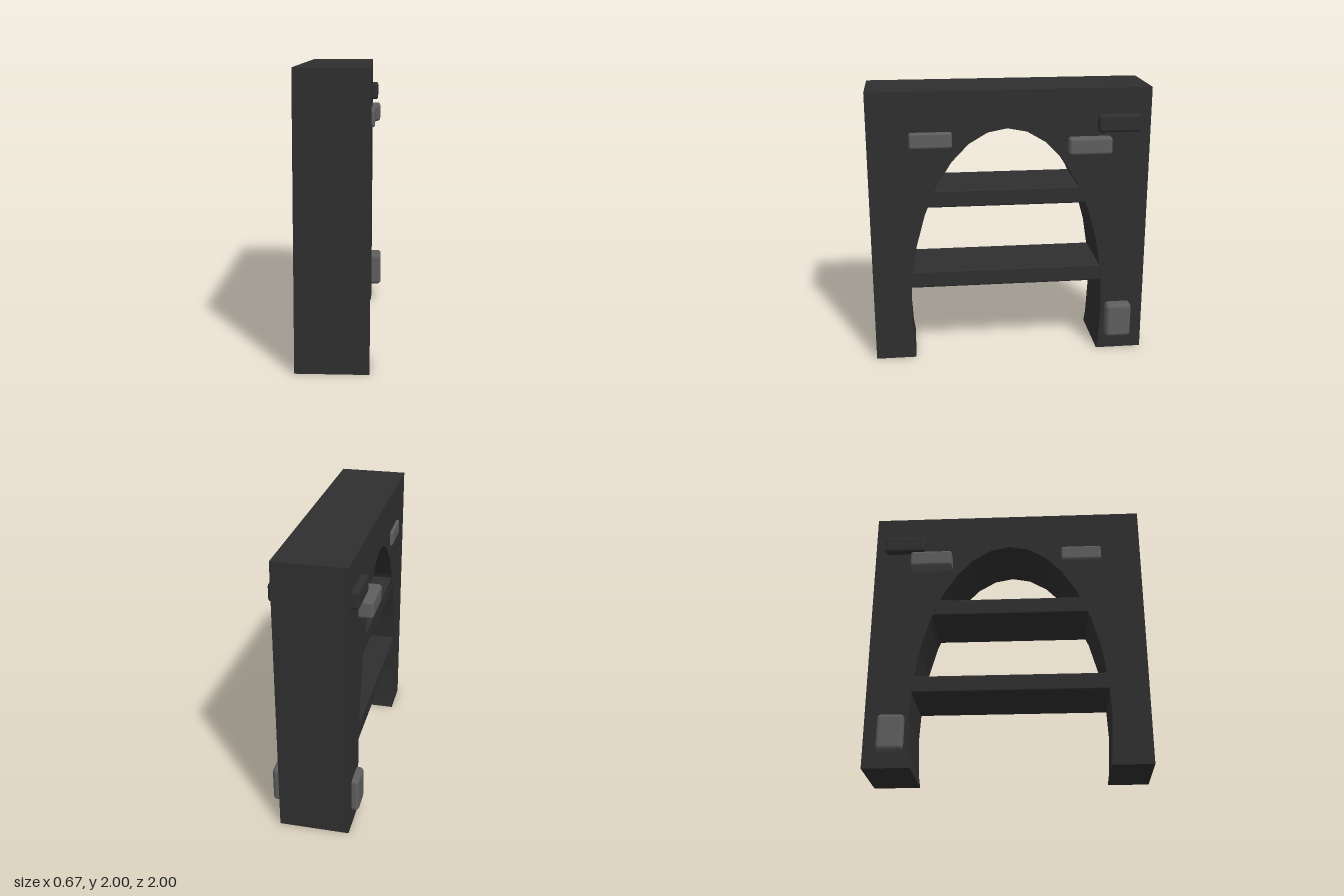
import * as THREE from 'three';
import { RoundedBoxGeometry } from 'three/addons/geometries/RoundedBoxGeometry.js';

export function createModel() {
  const model = new THREE.Group();
  model.name = 'stoneArch';

  const wallStone = new THREE.MeshStandardMaterial({ color: 0x2f2f2f });
  wallStone.name = 'dark wall stone';
  const paleStone = new THREE.MeshStandardMaterial({ color: 0x5e5e5e });
  paleStone.name = 'grey accent stone';

  // Wall: square slab with a faceted elliptical opening, drawn in the z-y plane
  const zc = 0.022, yc = 0.35, a = 0.71, b = 1.38;
  const outline = new THREE.Shape();
  outline.moveTo(-1, 0);
  outline.lineTo(zc - 0.684, 0);
  for (let i = -1; i <= 17; i++) {
    const t = Math.PI - (i * Math.PI) / 16;
    outline.lineTo(zc + a * Math.cos(t), yc + b * Math.sin(t));
  }
  outline.lineTo(zc + 0.684, 0);
  outline.lineTo(1, 0);
  outline.lineTo(1, 2);
  outline.lineTo(-1, 2);
  outline.closePath();
  const wallGeometry = new THREE.ExtrudeGeometry(outline, { depth: 0.495, bevelEnabled: false });
  wallGeometry.rotateY(-Math.PI / 2).translate(0.255, 0, 0);
  const wall = new THREE.Mesh(wallGeometry, wallStone);
  wall.name = 'archWall';
  model.add(wall);

  // Softened block given by its extents
  function block(name, [x0, x1], [y0, y1], [z0, z1], radius, material) {
    const geometry = new RoundedBoxGeometry(x1 - x0, y1 - y0, z1 - z0, 2, radius);
    const mesh = new THREE.Mesh(geometry, material);
    mesh.name = name;
    mesh.position.set((x0 + x1) / 2, (y0 + y1) / 2, (z0 + z1) / 2);
    model.add(mesh);
  }

  // Shelves spanning the opening
  block('lowerShelf', [-0.235, 0.25], [0.555, 0.68], [-0.78, 0.82], 0.012, wallStone);
  block('upperShelf', [-0.235, 0.25], [1.165, 1.29], [-0.7, 0.74], 0.012, wallStone);

  // Stones running through the wall and standing proud on both faces
  block('darkUpperStone', [-0.288, 0.3], [1.69, 1.815], [-0.925, -0.62], 0.02, wallStone);
  block('backUpperStone', [-0.338, 0.317], [1.535, 1.66], [-0.72, -0.41], 0.022, paleStone);
  block('frontUpperStone', [-0.26, 0.28], [1.6, 1.715], [0.41, 0.71], 0.018, paleStone);
  block('backLowerStone', [-0.29, 0.333], [0.12, 0.38], [-0.905, -0.715], 0.028, paleStone);

  return model;
}
